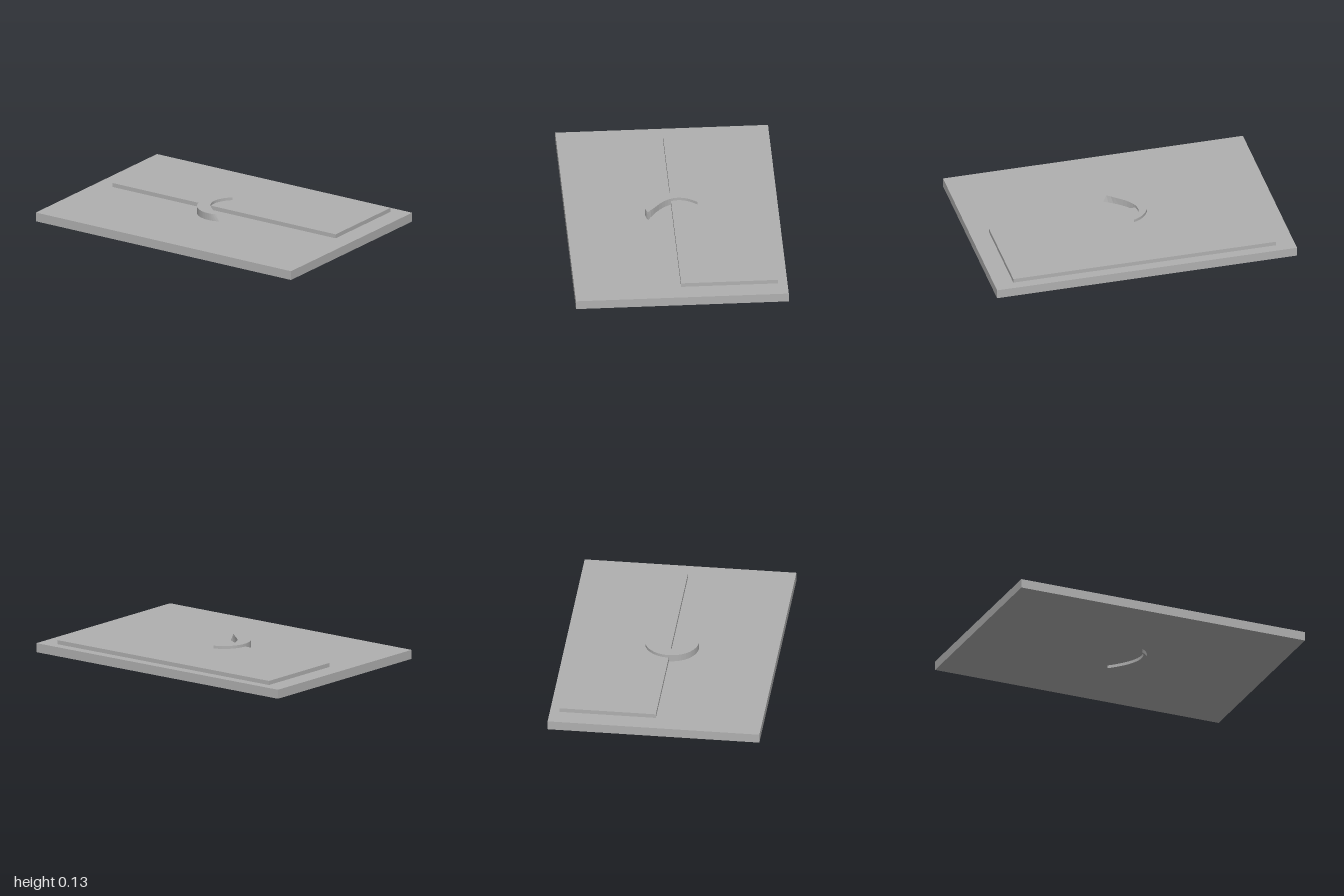
import * as THREE from 'three';

const RADIUS = 0.175;

// Crescent slab: outer arc between two angles (degrees, in x/z), inner curve through (innerX, 0)
function crescent(fromDeg, toDeg, innerX, bottom, top, slantTop) {
  const a = THREE.MathUtils.degToRad(fromDeg), b = THREE.MathUtils.degToRad(toDeg);
  const start = new THREE.Vector2(Math.cos(a), Math.sin(a)).multiplyScalar(RADIUS);
  const end = new THREE.Vector2(Math.cos(b), Math.sin(b)).multiplyScalar(RADIUS);
  const shape = new THREE.Shape();
  shape.absarc(0, 0, RADIUS, a, b, false);
  shape.quadraticCurveTo(2 * innerX - (start.x + end.x) / 2, -(start.y + end.y) / 2, start.x, start.y);

  const geometry = new THREE.ExtrudeGeometry(shape, { depth: top - bottom, bevelEnabled: false, curveSegments: 16 });
  geometry.rotateX(Math.PI / 2).translate(0, top, 0);

  // Slant the front tip: pull it back along the arc on the exposed face
  const p = geometry.attributes.position;
  const exposed = slantTop ? top : bottom;
  for (let i = 0; i < p.count; i++) {
    if (Math.abs(p.getY(i) - exposed) > 1e-4) continue;
    const x = p.getX(i), z = p.getZ(i);
    if (slantTop && x > 0 && z > 0) p.setX(i, x * 0.67);
    if (!slantTop && z > 0.1) p.setZ(i, z - (z - 0.1) * 0.2);
  }
  geometry.computeVertexNormals();
  return geometry;
}

export function createModel() {
  const group = new THREE.Group();
  const grey = new THREE.MeshStandardMaterial({ color: 0xb0b0b0 });
  grey.name = 'plain grey';

  function add(name, geometry, x = 0, y = 0, z = 0) {
    const mesh = new THREE.Mesh(geometry, grey);
    mesh.name = name;
    mesh.position.set(x, y, z);
    group.add(mesh);
  }

  // Base slab and the raised panel on its back half
  add('baseSlab', new THREE.BoxGeometry(2, 0.06, 1.376), 0, 0.05, 0);
  add('raisedPanel', new THREE.BoxGeometry(1.75, 0.03, 0.625), 0, 0.092, -0.3125);

  // Crescents rising from the top and hanging from the underside
  add('upperCrescent', crescent(65, 253.5, -0.1, 0.075, 0.126, true));
  add('lowerCrescent', crescent(-93, 57, 0.12, 0, 0.025, false));

  return group;
}
